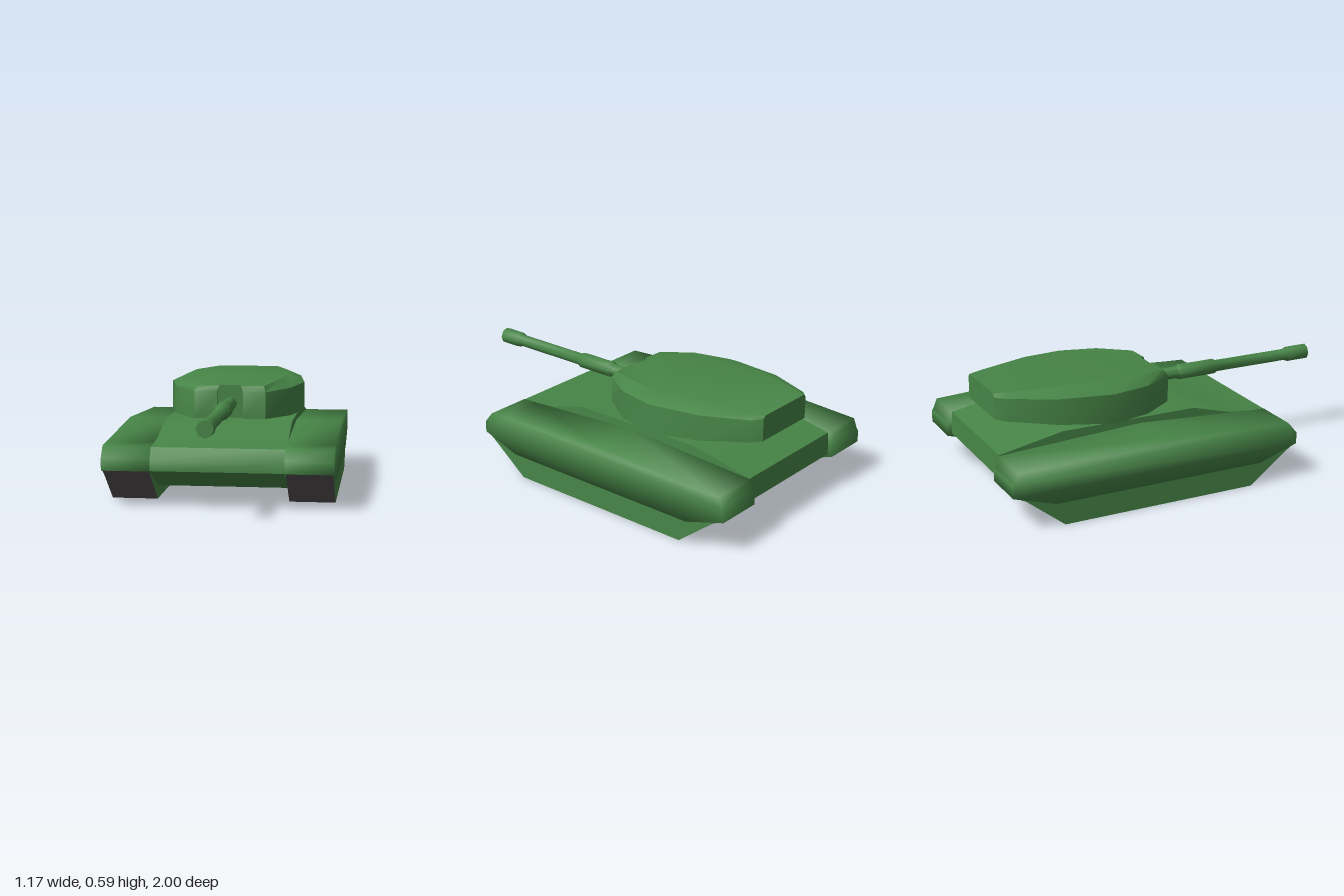
import * as THREE from 'three';
import { toCreasedNormals } from 'three/addons/utils/BufferGeometryUtils.js';

const green = new THREE.MeshStandardMaterial({ color: 0x478547 });
const dark = new THREE.MeshStandardMaterial({ color: 0x555151 });

function mesh(name, geometry, material) {
  const m = new THREE.Mesh(geometry, material);
  m.name = name;
  return m;
}

// Extrude a side profile of [z, y] points across x, from x0 to x1
function sideExtrude(profile, x0, x1) {
  const shape = new THREE.Shape(profile.map(([z, y]) => new THREE.Vector2(z, y)));
  const g = new THREE.ExtrudeGeometry(shape, { depth: x1 - x0, bevelEnabled: false });
  return g.rotateY(-Math.PI / 2).translate(x1, 0, 0);
}

// Piecewise linear height along z, from stops of [z, y] with falling z
function heightAt(stops, z) {
  if (z >= stops[0][0]) return stops[0][1];
  for (let i = 1; i < stops.length; i++) {
    const [z0, y0] = stops[i - 1], [z1, y1] = stops[i];
    if (z >= z1) return y0 + (y1 - y0) * (z0 - z) / (z0 - z1);
  }
  return stops[stops.length - 1][1];
}

// Turret: three mirrored outlines (floor, shoulder, roof) joined by walls
function turretGeometry() {
  const wide = [[0.07, 0], [0.07, 0.035], [0.19, 0.035], [0.31, -0.14],
    [0.37, -0.36], [0.33, -0.64], [0.225, -0.88], [0.18, -0.925]];
  const roof = [[0.058, 0], [0.058, 0.018], [0.18, 0.012], [0.25, -0.17],
    [0.285, -0.37], [0.265, -0.58], [0.19, -0.86], [0.165, -0.925]];
  const floorY = [[-0.33, 0.387], [-0.925, 0.445]];
  const shoulderY = [[0.035, 0.53], [-0.36, 0.545], [-0.925, 0.56]];
  const roofY = [[0.018, 0.56], [-0.15, 0.58], [-0.5, 0.59], [-0.925, 0.577]];

  const ring = (half, stops) => {
    const right = half.map(([x, z]) => [x, heightAt(stops, z), z]);
    return [...right, ...right.map(([x, y, z]) => [-x, y, z]).reverse()];
  };
  const rings = [ring(wide, floorY), ring(wide, shoulderY), ring(roof, roofY)];
  const n = rings[0].length, index = [];
  for (let r = 0; r < 2; r++) {
    for (let i = 0; i < n; i++) {
      const a = r * n + i, b = r * n + (i + 1) % n;
      index.push(a, b, b + n, a, b + n, a + n);
    }
  }
  const cap = (k) => THREE.ShapeUtils.triangulateShape(
    rings[k].map(([x, , z]) => new THREE.Vector2(x, -z)), []);
  for (const [a, b, c] of cap(0)) index.push(a, c, b);
  for (const [a, b, c] of cap(2)) index.push(a + 2 * n, b + 2 * n, c + 2 * n);

  const g = new THREE.BufferGeometry();
  g.setAttribute('position', new THREE.Float32BufferAttribute(rings.flat(2), 3));
  g.setIndex(index);
  return toCreasedNormals(g, 0.75);
}

export function createModel() {
  const model = new THREE.Group();
  model.name = 'tank';

  // Hull between the tracks
  const hull = sideExtrude([
    [0.585, 0.19], [0.585, 0.24], [0.54, 0.305], [0.33, 0.325], [0.11, 0.385],
    [-0.63, 0.385], [-0.97, 0.32], [-0.975, 0.2], [-0.75, 0.077], [0.35, 0.077],
  ], -0.338, 0.338);
  model.add(mesh('hull', toCreasedNormals(hull, 0.7), green));

  // Softly shaded fenders over tracks with green flanks
  const fenderProfile = [
    [0.585, 0.19], [0.585, 0.25], [0.535, 0.31], [0.43, 0.315], [-0.2, 0.355],
    [-0.97, 0.315], [-0.99, 0.265], [-1, 0.25], [-1, 0.19], [-0.775, 0.12], [0.37, 0.12],
  ];
  const trackProfile = [
    [0.58, 0.192], [0.53, 0.16], [0.32, 0], [-0.73, 0], [-0.93, 0.16], [-0.99, 0.192],
  ];
  for (const side of [1, -1]) {
    const name = side > 0 ? 'left' : 'right';
    const span = (a, b) => (side > 0 ? [a, b] : [-b, -a]);
    const fender = sideExtrude(fenderProfile, ...span(0.338, 0.585));
    model.add(mesh(name + 'Fender', toCreasedNormals(fender, 1.75), green));
    model.add(mesh(name + 'Track', sideExtrude(trackProfile, ...span(0.343, 0.58)), [green, dark]));
  }

  model.add(mesh('turret', turretGeometry(), green));

  // Eight-sided gun barrel with sleeve and muzzle
  const barrel = new THREE.LatheGeometry([
    [0.034, -0.03], [0.034, 0.185], [0.043, 0.2], [0.043, 0.405], [0.033, 0.425],
    [0.033, 0.865], [0.043, 0.89], [0.043, 1], [0, 1],
  ].map(([r, z]) => new THREE.Vector2(r, z)), 8);
  barrel.rotateX(Math.PI / 2).translate(0, 0.465, 0);
  model.add(mesh('gunBarrel', toCreasedNormals(barrel, 0.9), green));

  return model;
}
